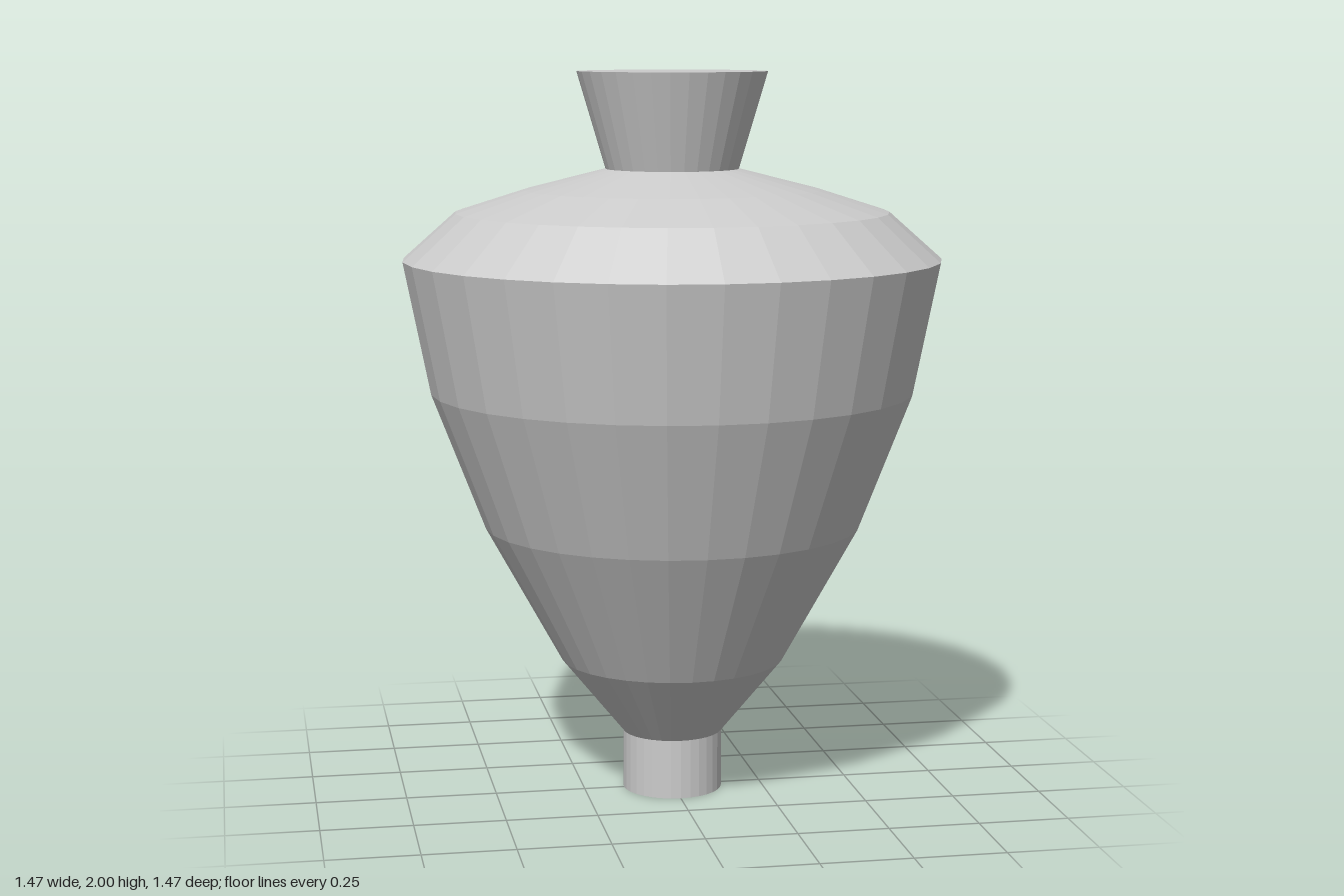
import * as THREE from 'three';

const SIDES = 32;

export function createModel() {
  const group = new THREE.Group();
  group.name = 'urn';
  const material = new THREE.MeshStandardMaterial({ color: 0xcccccc, flatShading: true });

  // Turned part from [radius, height] pairs, bottom to top
  const addTurned = (name, profile) => {
    const points = profile.map(([r, y]) => new THREE.Vector2(r, y));
    const mesh = new THREE.Mesh(new THREE.LatheGeometry(points, SIDES), material);
    mesh.name = name;
    group.add(mesh);
  };

  // Short cylindrical foot, closed underneath
  addTurned('foot', [[0, 0], [0.138, 0], [0.138, 0.165]]);

  // Tapered belly rising to the widest rim
  addTurned('belly', [[0.138, 0.165], [0.31, 0.375], [0.52, 0.755], [0.665, 1.13], [0.737, 1.492]]);

  // Sloping shoulder
  addTurned('shoulder', [[0.737, 1.492], [0.593, 1.62], [0.405, 1.68], [0.182, 1.737]]);

  // Flared neck with a flat closed top
  addTurned('neck', [[0.182, 1.737], [0.26, 2], [0, 2]]);

  return group;
}
